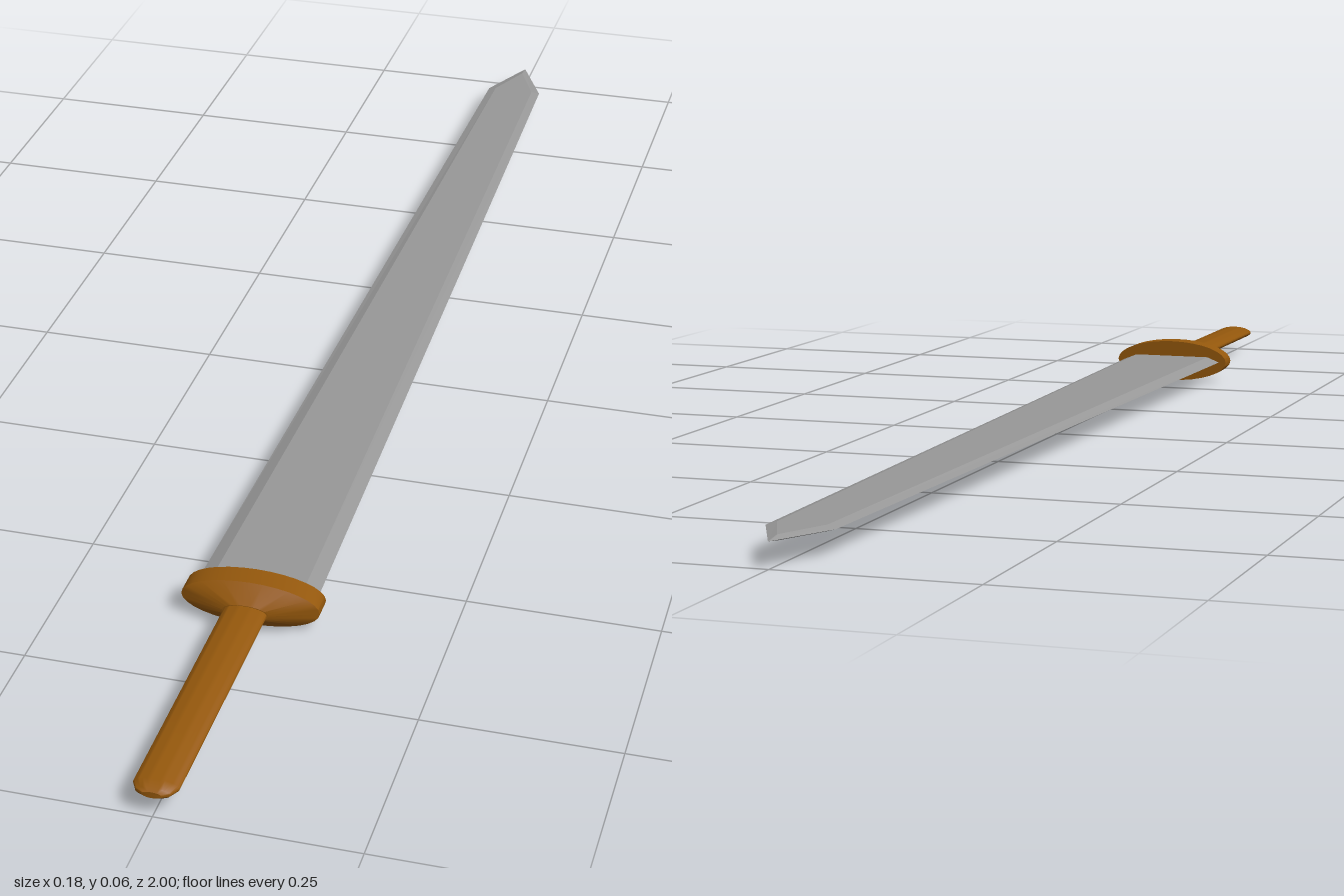
import * as THREE from 'three';
import { toCreasedNormals } from 'three/addons/utils/BufferGeometryUtils.js';

const AXIS_Y = 0.032; // height of the sword's long axis

// Oval turned part: profile of [radius, z], flattened in y
function ovalTurned(name, profile, flatten, material) {
  const points = profile.map(([r, z]) => new THREE.Vector2(r, z));
  const geometry = new THREE.LatheGeometry(points, 32);
  geometry.rotateX(Math.PI / 2);
  geometry.scale(1, flatten, 1);
  const mesh = new THREE.Mesh(toCreasedNormals(geometry, 0.6), material);
  mesh.name = name;
  return mesh;
}

// Blade cross-section: flat faces between ridges, bevelled to both edges
function bladeSection({ edgeX, edgeZ, ridgeX, ridgeZ, thick }) {
  return [
    [-edgeX, 0, edgeZ],
    [-ridgeX, -thick, ridgeZ],
    [ridgeX, -thick, ridgeZ],
    [edgeX, 0, edgeZ],
    [ridgeX, thick, ridgeZ],
    [-ridgeX, thick, ridgeZ],
  ];
}

function bladeGeometry(stations) {
  const rings = stations.map(bladeSection);
  const n = rings[0].length;
  const positions = [];
  const tri = (a, b, c) => positions.push(...a, ...b, ...c);
  for (let s = 0; s < rings.length - 1; s++) {
    const a = rings[s], b = rings[s + 1];
    for (let i = 0; i < n; i++) {
      const j = (i + 1) % n;
      tri(a[i], b[i], a[j]);
      tri(a[j], b[i], b[j]);
    }
  }
  // End caps
  const first = rings[0], last = rings[rings.length - 1];
  for (let k = 1; k < n - 1; k++) {
    tri(first[0], first[k], first[k + 1]);
    tri(last[0], last[k + 1], last[k]);
  }
  const geometry = new THREE.BufferGeometry();
  geometry.setAttribute('position', new THREE.Float32BufferAttribute(positions, 3));
  geometry.computeVertexNormals();
  return geometry;
}

export function createModel() {
  const steel = new THREE.MeshStandardMaterial({ color: 0x989898, flatShading: true });
  const wood = new THREE.MeshStandardMaterial({ color: 0x95580c });
  const sword = new THREE.Group();
  sword.name = 'sword';

  // Blade, tapering from guard to shoulder and then to a short point
  const blade = new THREE.Mesh(bladeGeometry([
    { edgeX: 0.079, edgeZ: 0.6, ridgeX: 0.06, ridgeZ: 0.6, thick: 0.0078 },
    { edgeX: 0.043, edgeZ: -0.912, ridgeX: 0.031, ridgeZ: -0.907, thick: 0.0038 },
    { edgeX: 0.0005, edgeZ: -1, ridgeX: 0.0005, ridgeZ: -0.975, thick: 0.0035 },
  ]), steel);
  blade.name = 'blade';

  // Oval guard with a sloping front face
  const guard = ovalTurned('guard', [
    [0, 0.586], [0.09, 0.586], [0.09, 0.616], [0.03, 0.637], [0, 0.637],
  ], 0.35, wood);

  // Flattened grip with a rounded end
  const grip = ovalTurned('grip', [
    [0, 0.625], [0.028, 0.625], [0.028, 0.982], [0.021, 0.995], [0.012, 1], [0, 1],
  ], 0.35, wood);

  sword.add(blade, guard, grip);
  sword.children.forEach((part) => { part.position.y = AXIS_Y; });
  return sword;
}
